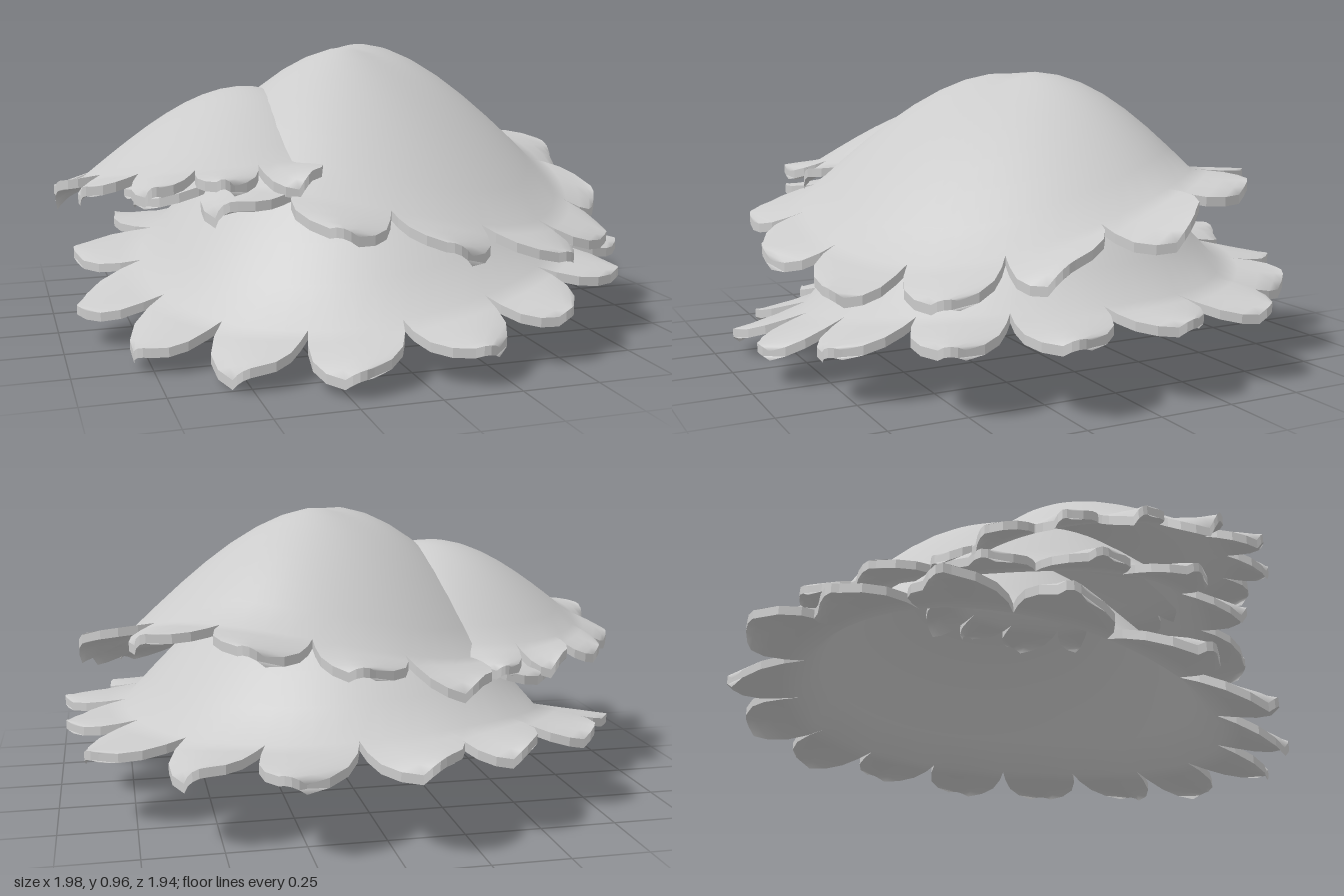
import * as THREE from 'three';
import { mergeGeometries, mergeVertices } from 'three/addons/utils/BufferGeometryUtils.js';

const RINGS = 8, COLS = 4, THICK = 0.03;
const PETAL_T = [0, 0.3, 0.62, 0.86, 1];        // steps along a petal
const PETAL_W = [1, 0.92, 0.77, 0.52, 0.22];    // half width at each step

function seeded(seed) {
  return () => (seed = (seed * 16807) % 2147483647) / 2147483647;
}

// Grid of points; rows run outward, columns run round the tier
function grid(rows, cols, point, down) {
  const pos = [], idx = [];
  for (let i = 0; i <= rows; i++)
    for (let j = 0; j <= cols; j++) pos.push(...point(i, j));
  for (let i = 0; i < rows; i++)
    for (let j = 0; j < cols; j++) {
      const a = i * (cols + 1) + j, b = a + cols + 1, c = b + 1, d = a + 1;
      idx.push(...(down ? [a, b, c, a, c, d] : [a, d, c, a, c, b]));
    }
  const g = new THREE.BufferGeometry();
  g.setAttribute('position', new THREE.Float32BufferAttribute(pos, 3));
  g.setIndex(idx);
  return g;
}

function smooth(parts) {
  const g = mergeVertices(mergeGeometries(parts), 1e-4);
  g.computeVertexNormals();
  return g;
}

// One leafy tier: a bell-shaped, warped shell with a fringe of petals
function makeTier(o, material) {
  const rand = seeded(o.seed);
  const point = (r, a, drop, lower) => {
    const h = Math.cos(Math.min(r / o.radius, 1) * Math.PI / 2);
    const dx = r * Math.cos(a), dz = r * Math.sin(a);
    const rim = o.y + o.tiltX * dx + o.tiltZ * dz + o.saddle * r * Math.sin(2 * a);
    return [
      o.x + dx + o.peakX * h,
      rim + o.height * h - drop - (lower ? THICK : 0),
      o.z + dz + o.peakZ * h,
    ];
  };
  const total = o.count * COLS;
  const step = (Math.PI * 2) / o.count;
  const start = o.phase - step / 2;
  const tops = [], bottoms = [], edges = [];

  const dome = (lower) => (i, j) =>
    point((o.radius * i) / RINGS, start + ((j % total) / COLS) * step, 0, lower);
  tops.push(grid(RINGS, total, dome(false), false));
  bottoms.push(grid(RINGS, total, dome(true), true));

  for (let k = 0; k < o.count; k++) {
    const length = o.petal * (0.88 + 0.2 * rand());
    const twist = 0.05 * (rand() - 0.3);
    const lean = (rand() - 0.5) * 0.4;
    const droop = o.droop * (0.7 + 0.6 * rand());
    const petal = (lower) => (i, j) => {
      const t = PETAL_T[i], u = (j / COLS) * 2 - 1;
      const a = start + step * (k + 0.5 + 0.5 * (u * PETAL_W[i] + lean * t * t));
      const r = o.radius + length * t * (1 - 0.08 * u * u);
      return point(r, a, t * (droop + 0.015 * u * u + twist * u), lower);
    };
    const rows = PETAL_T.length - 1;
    tops.push(grid(rows, COLS, petal(false), false));
    bottoms.push(grid(rows, COLS, petal(true), true));
    // Rim of the petal: out along one side, over the tip, back down the other
    const path = [];
    for (let i = 0; i < rows; i++) path.push([i, 0]);
    for (let j = 0; j <= COLS; j++) path.push([rows, j]);
    for (let i = rows - 1; i >= 0; i--) path.push([i, COLS]);
    edges.push(grid(1, path.length - 1, (i, j) => petal(i === 1)(...path[j]), false));
  }
  const edge = mergeGeometries(edges).toNonIndexed();
  edge.computeVertexNormals();

  const tier = new THREE.Group();
  tier.name = o.name;
  const add = (name, geometry) => {
    const mesh = new THREE.Mesh(geometry, material);
    mesh.name = name;
    tier.add(mesh);
  };
  add('leafTop', smooth(tops));
  add('leafUnderside', smooth(bottoms));
  add('leafEdge', edge);
  return tier;
}

export function createModel() {
  const model = new THREE.Group();
  model.name = 'layeredFoliage';
  const material = new THREE.MeshStandardMaterial({ color: 0xcccccc, side: THREE.DoubleSide });
  const tiers = [
    { name: 'lowerTier', x: 0.03, y: 0.21, z: 0, radius: 0.74, height: 0.53, petal: 0.235, droop: 0.035,
      tiltX: 0.05, tiltZ: -0.1, saddle: 0.05, peakX: 0, peakZ: 0, count: 16, phase: -0.12, seed: 11 },
    { name: 'upperTier', x: 0.07, y: 0.49, z: 0.07, radius: 0.67, height: 0.43, petal: 0.19, droop: 0.035,
      tiltX: 0, tiltZ: -0.08, saddle: -0.11, peakX: -0.02, peakZ: -0.07, count: 14, phase: 0.2, seed: 29 },
    { name: 'sideTier', x: -0.43, y: 0.54, z: 0.07, radius: 0.46, height: 0.25, petal: 0.135, droop: 0.03,
      tiltX: 0.05, tiltZ: 0.11, saddle: 0, peakX: 0.06, peakZ: -0.06, count: 15, phase: 3.02, seed: 53 },
  ];
  for (const t of tiers) model.add(makeTier(t, material));
  return model;
}
